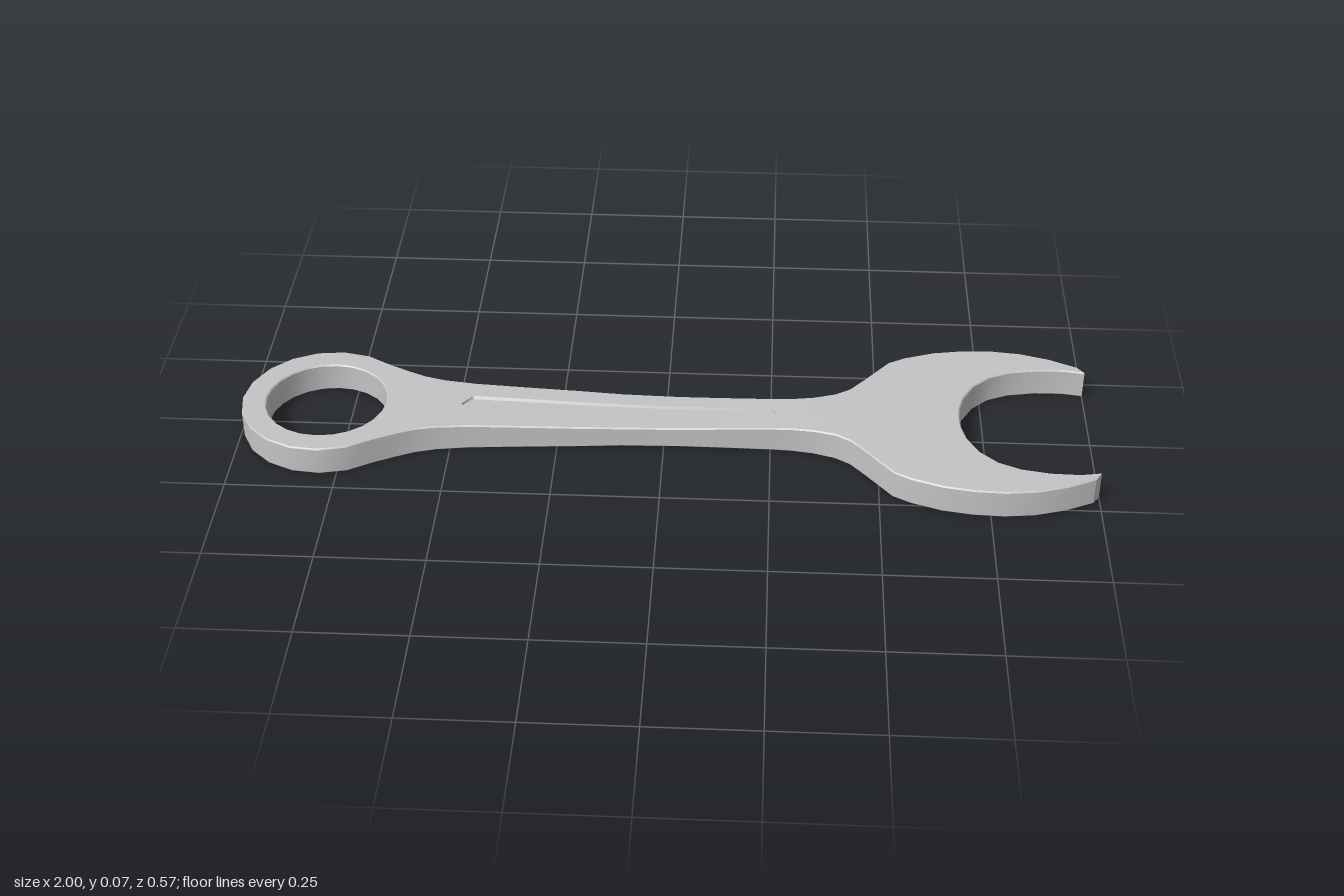
import * as THREE from 'three';
import { toCreasedNormals } from 'three/addons/utils/BufferGeometryUtils.js';

const BEVEL = 0.003, MID = 0.035, GROOVE_DEPTH = 0.006, GROOVE_TAPER = 0.85;

// Half thickness: full at both heads, thinner along the handle
function halfThickness(x) {
  const t = x < 0 ? (-0.1 - x) / 0.5 : (x - 0.03) / 0.37;
  return THREE.MathUtils.lerp(0.026, 0.035, THREE.MathUtils.clamp(t, 0, 1));
}

// Heights at a given x
const top = (x) => MID + halfThickness(x);
const bottom = (x) => MID - halfThickness(x);
const topShoulder = (x) => top(x) - BEVEL;
const bottomShoulder = (x) => bottom(x) + BEVEL;
const grooveFloor = (x) => top(x) - GROOVE_DEPTH;

// Handle stations: x, half width, half width of the groove
const stations = [
  [-0.62, 0.127, 0], [-0.58, 0.109, 0], [-0.53, 0.096, 0],
  [-0.48, 0.09, 0], [-0.455, 0.087, 0.034], [-0.33, 0.081, 0.031], [-0.21, 0.076, 0.028],
  [-0.1, 0.07, 0.026], [0.03, 0.066, 0.023], [0.14, 0.063, 0.021], [0.25, 0.061, 0.018], [0.262, 0.061, 0],
  [0.3, 0.062, 0], [0.35, 0.068, 0], [0.4, 0.082, 0],
];
const grooveStart = 3, grooveEnd = 11;

// Front half of the outline, from the ring end to the root of the jaw
const ringArc = [];
for (let i = 0; i <= 7; i++) {
  const a = (i / 7) * 2.27;
  ringArc.push([-0.8 - 0.2 * Math.cos(a), 0.2 * Math.sin(a)]);
}
const half = [
  ...ringArc, ...stations.map(([x, w]) => [x, w]),
  [0.435, 0.104], [0.47, 0.145], [0.53, 0.22],
  [0.57, 0.243], [0.64, 0.268], [0.71, 0.28], [0.78, 0.283], [0.85, 0.275], [0.92, 0.254],
  [0.985, 0.223], [1, 0.198], [0.95, 0.206], [0.885, 0.204], [0.82, 0.192], [0.77, 0.169],
  [0.73, 0.13], [0.703, 0.08], [0.692, 0.035], [0.69, 0],
];
const outline = [...half, ...half.slice(1, -1).reverse().map(([x, z]) => [x, -z])];
const firstStation = ringArc.length;
const lastStation = firstStation + stations.length - 1;

// Ring opening, wound against the outline so its wall faces inwards
const ringHole = [];
for (let i = 0; i < 24; i++) {
  const a = (i / 24) * Math.PI * 2;
  ringHole.push([-0.8 + 0.142 * Math.cos(a), 0.142 * Math.sin(a)]);
}

// Move a loop into the metal by the bevel width
function inset(loop) {
  return loop.map(([x, z], i) => {
    const p = loop[(i + loop.length - 1) % loop.length], n = loop[(i + 1) % loop.length];
    const dx = n[0] - p[0], dz = n[1] - p[1], len = Math.hypot(dx, dz);
    return [x + (dz / len) * BEVEL, z - (dx / len) * BEVEL];
  });
}

function buildGeometry() {
  const positions = [];
  const put = ([x, z], level) => positions.push(x, level(x), z);

  // Face triangle turned up or down as asked
  const face = (a, b, c, level, up) => {
    const s = (b[1] - a[1]) * (c[0] - a[0]) - (b[0] - a[0]) * (c[1] - a[1]);
    if (Math.abs(s) < 1e-9) return;
    const order = (s > 0) === up ? [a, b, c] : [a, c, b];
    order.forEach((p) => put(p, level));
  };
  const quad = (a, b, c, d, level, up) => {
    face(a, b, c, level, up);
    face(a, c, d, level, up);
  };
  const polygon = (loop, holes, level, up) => {
    const v = (l) => l.map(([x, z]) => new THREE.Vector2(x, z));
    const all = [loop, ...holes].flat();
    THREE.ShapeUtils.triangulateShape(v(loop), holes.map(v))
      .forEach(([a, b, c]) => face(all[a], all[b], all[c], level, up));
  };
  // Wall between a lower and an upper loop
  const wall = (low, lowLevel, high, highLevel) => low.forEach((a, i) => {
    const j = (i + 1) % low.length;
    put(a, lowLevel); put(low[j], lowLevel); put(high[j], highLevel);
    put(a, lowLevel); put(high[j], highLevel); put(high[i], highLevel);
  });

  // Bevelled outer edge and ring opening
  const outer = inset(outline);
  const hole = inset(ringHole);
  for (const [full, small] of [[outline, outer], [ringHole, hole]]) {
    wall(small, bottom, full, bottomShoulder);
    wall(full, bottomShoulder, full, topShoulder);
    wall(full, topShoulder, small, top);
  }

  // Top and bottom of the two heads
  const n = outer.length;
  const ringHead = [...outer.slice(0, firstStation + 1), ...outer.slice(n - firstStation)];
  const jawHead = outer.slice(lastStation, n - lastStation + 1);
  for (const [level, up] of [[top, true], [bottom, false]]) {
    polygon(ringHead, [hole], level, up);
    polygon(jawHead, [], level, up);
  }

  // Handle faces, with the groove sunk in the top
  const side = (scale) => stations.map(([, , g], k) => [outer[firstStation + k][0], g * scale]);
  const front = side(1), back = side(-1);
  const floorFront = side(GROOVE_TAPER), floorBack = side(-GROOVE_TAPER);
  for (let k = 0; k < stations.length - 1; k++) {
    const i = firstStation + k;
    const a = outer[i], b = outer[i + 1], c = outer[n - i - 1], d = outer[n - i];
    quad(a, b, c, d, bottom, false);
    quad(a, b, front[k + 1], front[k], top, true);
    quad(back[k], back[k + 1], c, d, top, true);
    quad(floorFront[k], floorFront[k + 1], floorBack[k + 1], floorBack[k], grooveFloor, true);
  }
  // Sloping groove walls
  const grooveLoop = (f, b) => [
    ...b.slice(grooveStart, grooveEnd + 1),
    ...f.slice(grooveStart + 1, grooveEnd).reverse(),
  ];
  wall(grooveLoop(floorFront, floorBack), grooveFloor, grooveLoop(front, back), top);

  const geometry = new THREE.BufferGeometry();
  geometry.setAttribute('position', new THREE.Float32BufferAttribute(positions, 3));
  return toCreasedNormals(geometry, 0.5);
}

export function createModel() {
  const steel = new THREE.MeshStandardMaterial({ color: 0xc4c4c4 });
  steel.name = 'steel grey';
  const wrench = new THREE.Mesh(buildGeometry(), steel);
  wrench.name = 'wrenchBody';
  const group = new THREE.Group();
  group.name = 'combinationWrench';
  group.add(wrench);
  return group;
}
